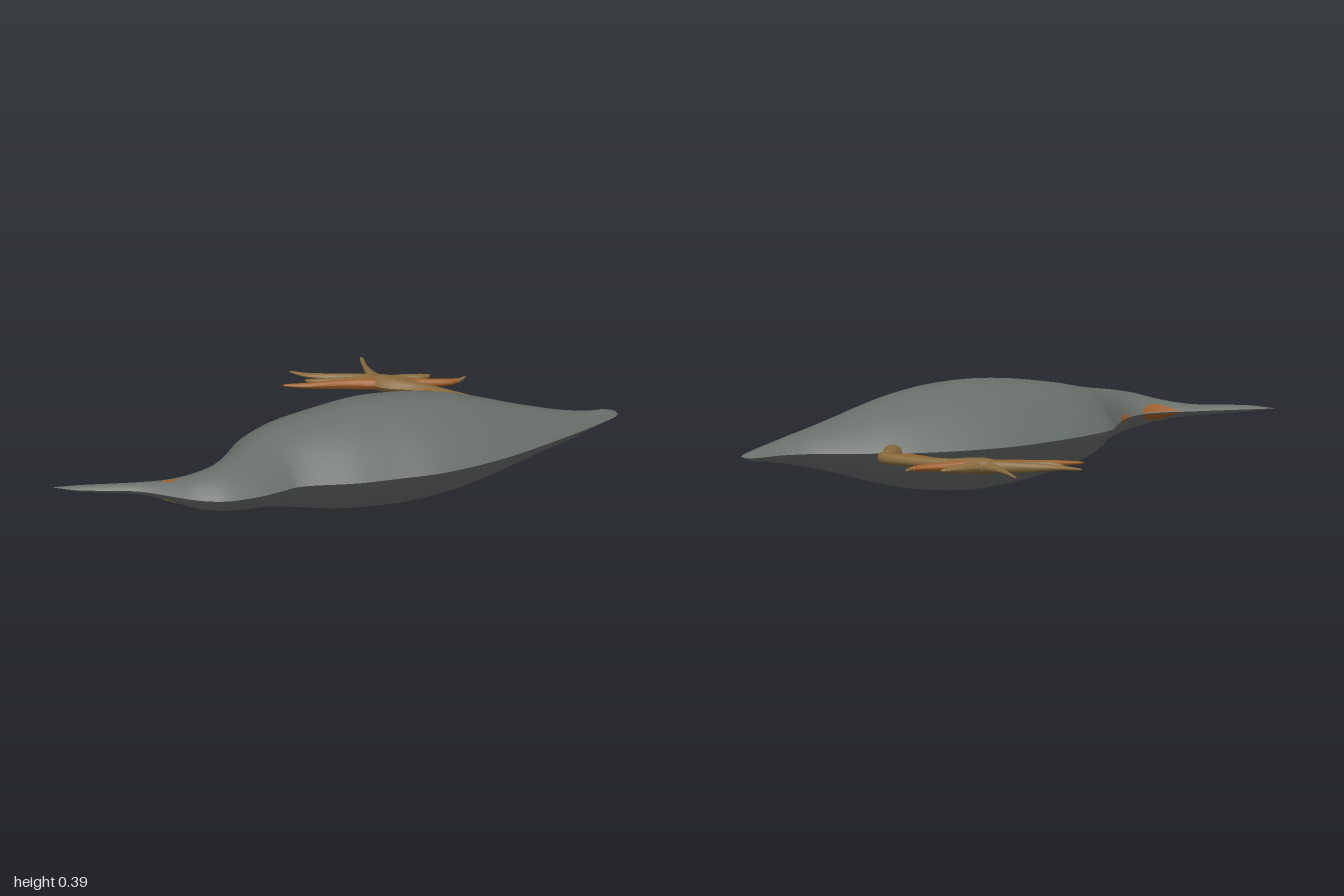
import * as THREE from 'three';

const MID = 0.195; // height of the symmetry plane

const grey = new THREE.MeshStandardMaterial({ color: 0x686e6a, side: THREE.DoubleSide });
grey.name = 'slate grey';
const brown = new THREE.MeshStandardMaterial({ color: 0x86693c });
brown.name = 'leg brown';
const orange = new THREE.MeshStandardMaterial({ color: 0x9c5c26, side: THREE.DoubleSide });
orange.name = 'rust orange';

// Body stations from beak to tail: back edge x, z, belly edge x, z, half height
const STATIONS = [
  [-1, 0.522, -1, 0.53, 0], [-0.9, 0.518, -0.92, 0.557, 0.011],
  [-0.8, 0.515, -0.8, 0.566, 0.016], [-0.7, 0.51, -0.7, 0.577, 0.021],
  [-0.6, 0.504, -0.6, 0.622, 0.036], [-0.52, 0.48, -0.5, 0.669, 0.06],
  [-0.46, 0.42, -0.4, 0.682, 0.078], [-0.41, 0.31, -0.28, 0.64, 0.1],
  [-0.37, 0.2, -0.2, 0.59, 0.122], [-0.28, 0.11, -0.14, 0.55, 0.147],
  [-0.15, 0.02, 0.07, 0.522, 0.178], [0, -0.065, 0.22, 0.48, 0.193],
  [0.15, -0.115, 0.36, 0.437, 0.188], [0.3, -0.14, 0.5, 0.36, 0.166],
  [0.43, -0.146, 0.6, 0.29, 0.135], [0.55, -0.13, 0.7, 0.205, 0.1],
  [0.66, -0.115, 0.78, 0.13, 0.073], [0.76, -0.105, 0.85, 0.063, 0.051],
  [0.87, -0.12, 0.92, -0.01, 0.03], [0.94, -0.15, 0.965, -0.06, 0.019],
  [0.98, -0.15, 0.99, -0.09, 0.009], [1, -0.12, 1, -0.12, 0],
];
const spline = (pick) => new THREE.CatmullRomCurve3(STATIONS.map(pick), false, 'centripetal');
const LAST = STATIONS.length - 1;
const backEdge = spline((s) => new THREE.Vector3(s[0], 0, s[1]));
const bellyEdge = spline((s) => new THREE.Vector3(s[2], 0, s[3]));
const heights = spline((s, i) => new THREE.Vector3(i * 0.1, s[4], 0));

// Point on the body skin: u = station, t = -1 (back) to 1 (belly), side = +1 or -1
function skin(u, t, side, lift = 0) {
  const k = THREE.MathUtils.clamp(u / LAST, 0, 1);
  const p = backEdge.getPoint(k).lerp(bellyEdge.getPoint(k), (t + 1) / 2);
  const h = Math.max(0, heights.getPoint(k).y);
  p.y = MID + side * (h * (1 - t * t) + lift);
  return p;
}

// Grid of rows x cols quads, with point(i, j) giving each vertex
function grid(rows, cols, point, flip = false) {
  const pos = [], idx = [];
  for (let i = 0; i <= rows; i++)
    for (let j = 0; j <= cols; j++) pos.push(...point(i, j).toArray());
  for (let i = 0; i < rows; i++)
    for (let j = 0; j < cols; j++) {
      const a = i * (cols + 1) + j, b = a + 1, c = a + cols + 1, d = c + 1;
      if (flip) idx.push(a, c, b, b, c, d);
      else idx.push(a, b, c, b, d, c);
    }
  const g = new THREE.BufferGeometry();
  g.setAttribute('position', new THREE.Float32BufferAttribute(pos, 3));
  g.setIndex(idx);
  g.computeVertexNormals();
  return g;
}

// Flattened tapering limb through [x, z, half width, half height]
function limb(points) {
  const path = new THREE.CatmullRomCurve3(points.map((p) => new THREE.Vector3(p[0], MID, p[1])), false, 'centripetal');
  const size = new THREE.CatmullRomCurve3(points.map((p) => new THREE.Vector3(p[2], p[3], 0)));
  const up = new THREE.Vector3(0, 1, 0), rows = 20, cols = 10;
  return grid(rows, cols, (i, j) => {
    const k = i / rows, a = (j / cols) * Math.PI * 2;
    const n = up.clone().cross(path.getTangent(k)).normalize();
    const s = size.getPoint(k);
    const end = i === 0 || i === rows ? 0.05 : 1;
    return path.getPoint(k)
      .addScaledVector(n, Math.max(0.001, s.x) * end * Math.cos(a))
      .addScaledVector(up, Math.max(0.001, s.y) * end * Math.sin(a));
  });
}

export function createModel() {
  const model = new THREE.Group();
  model.name = 'birdLyingOnSide';
  const add = (parent, name, geometry, material) => {
    const mesh = new THREE.Mesh(geometry, material);
    mesh.name = name;
    parent.add(mesh);
  };

  // Two domed halves meeting in a sharp rim
  const body = new THREE.Group();
  body.name = 'body';
  model.add(body);
  const rows = LAST * 4, cols = 28;
  for (const side of [1, -1])
    add(body, side > 0 ? 'upperHalf' : 'lowerHalf',
      grid(rows, cols, (i, j) => skin((i / rows) * LAST, (j / cols) * 2 - 1, side), side < 0), grey);

  // Rust markings on the face and neck: station range, then t range
  const marks = [[3.4, 5, -0.99, -0.62], [3.7, 4.4, 0.02, 0.3], [5.7, 6.7, -1, -0.93]];
  marks.forEach(([u0, u1, t0, t1], m) => {
    for (const side of [1, -1])
      add(body, 'faceMark' + (m + 1), grid(14, 6, (i, j) => {
        const v = i / 14;
        return skin(u0 + (u1 - u0) * v, t0 + (t1 - t0) * (j / 6) * Math.sin(Math.PI * v), side, 0.002);
      }, side < 0), orange);
  });

  // Leg with bent ankle, inner tendon and foot
  const leg = new THREE.Group();
  leg.name = 'leg';
  model.add(leg);
  add(leg, 'thigh', limb([[0.46, -0.1, 0.045, 0.03], [0.47, -0.16, 0.03, 0.028], [0.495, -0.21, 0.028, 0.026], [0.51, -0.24, 0.018, 0.015]]), brown);
  add(leg, 'shank', limb([[0.525, -0.2, 0.012, 0.018], [0.495, -0.24, 0.027, 0.022], [0.41, -0.31, 0.027, 0.02],
    [0.31, -0.38, 0.026, 0.021], [0.2, -0.43, 0.045, 0.03], [0.13, -0.47, 0.02, 0.02]]), brown);
  add(leg, 'tendon', limb([[0.46, -0.2, 0.007, 0.012], [0.42, -0.24, 0.013, 0.016], [0.37, -0.295, 0.012, 0.016], [0.32, -0.36, 0.008, 0.012]]), orange);

  // Toes ending in thin claws
  const toes = [
    ['hindToe', brown, [[0.2, -0.43, 0.03, 0.025], [0.155, -0.5, 0.02, 0.014], [0.127, -0.6, 0.009, 0.004], [0.115, -0.688, 0.006, 0.003]]],
    ['outerToe', brown, [[0.2, -0.45, 0.03, 0.025], [0.06, -0.485, 0.014, 0.018], [-0.08, -0.52, 0.013, 0.008], [-0.142, -0.56, 0.005, 0.003]]],
    ['middleToe', brown, [[0.18, -0.44, 0.025, 0.025], [0.08, -0.452, 0.013, 0.018], [-0.03, -0.45, 0.012, 0.014], [-0.09, -0.472, 0.005, 0.004]]],
    ['innerToe', orange, [[0.19, -0.43, 0.025, 0.022], [0.05, -0.43, 0.013, 0.018], [-0.09, -0.42, 0.012, 0.01], [-0.17, -0.425, 0.004, 0.004]]],
    ['sideToe', brown, [[0.18, -0.44, 0.025, 0.022], [0.26, -0.473, 0.014, 0.018], [0.32, -0.488, 0.017, 0.012], [0.352, -0.508, 0.008, 0.004]]],
    ['longToe', orange, [[0.2, -0.425, 0.025, 0.025], [0.3, -0.43, 0.014, 0.018], [0.42, -0.44, 0.014, 0.012], [0.45, -0.455, 0.009, 0.008]]],
    ['longToeClaw', brown, [[0.44, -0.445, 0.01, 0.009], [0.46, -0.465, 0.008, 0.006], [0.475, -0.49, 0.004, 0.003]]],
  ];
  for (const [name, material, points] of toes) add(leg, name, limb(points), material);

  return model;
}
